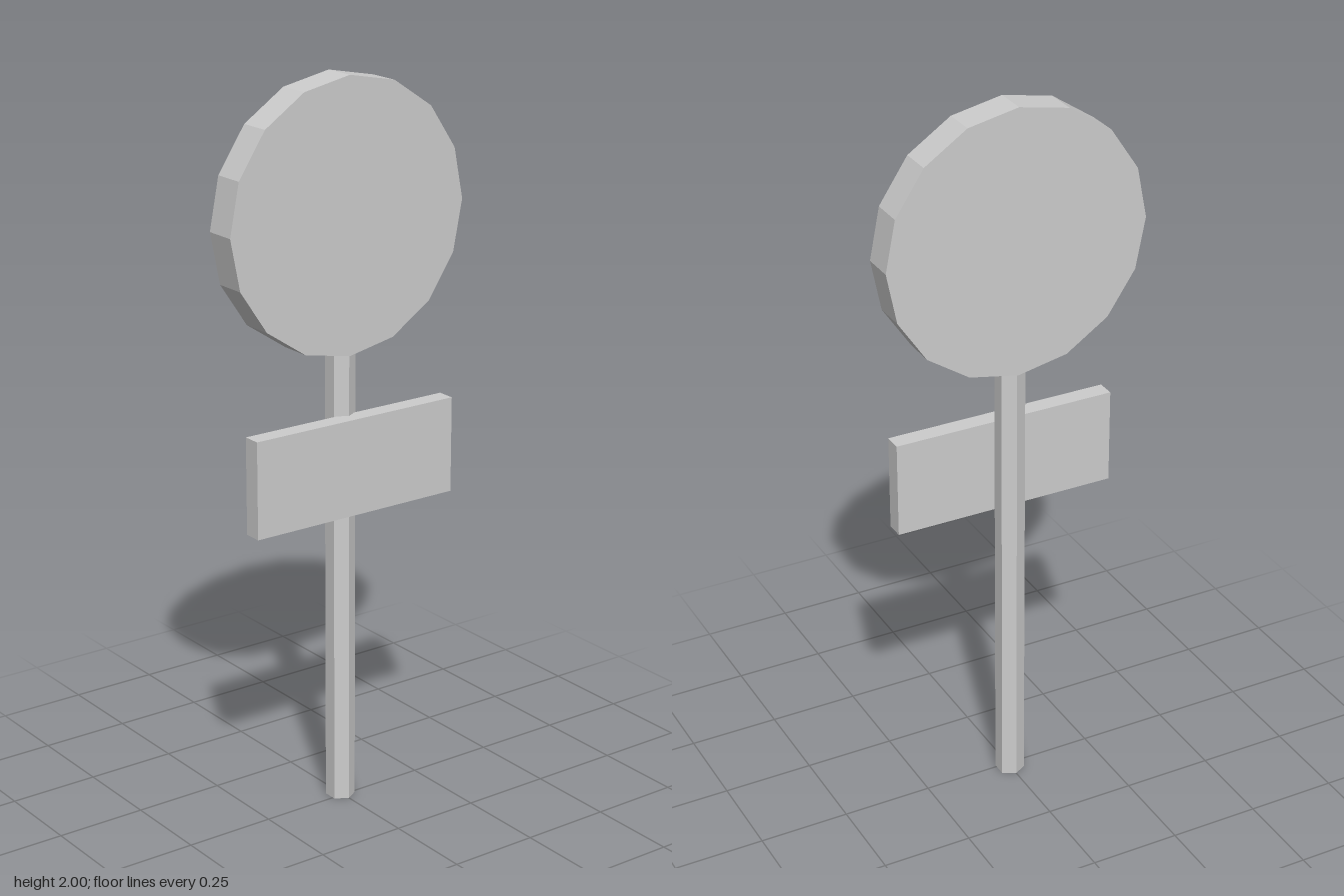
import * as THREE from 'three';

export function createModel() {
  const group = new THREE.Group();
  const grey = new THREE.MeshStandardMaterial({ color: 0xcccccc, flatShading: true });
  grey.name = 'light grey';

  const add = (name, geometry, x, y, z) => {
    const mesh = new THREE.Mesh(geometry, grey);
    mesh.name = name;
    mesh.position.set(x, y, z);
    group.add(mesh);
  };

  // Hexagonal post, ending just inside the disc
  add('post', new THREE.CylinderGeometry(0.04, 0.04, 1.3, 6), 0, 0.65, -0.013);

  // Sixteen-sided round sign facing the front
  add('roundSign', new THREE.CylinderGeometry(0.366, 0.366, 0.09, 16).rotateX(Math.PI / 2), 0, 1.634, -0.016);

  // Rectangular plate fixed to the front of the post
  add('lowerPlate', new THREE.BoxGeometry(0.63, 0.265, 0.05), 0, 0.9725, 0.036);

  return group;
}
